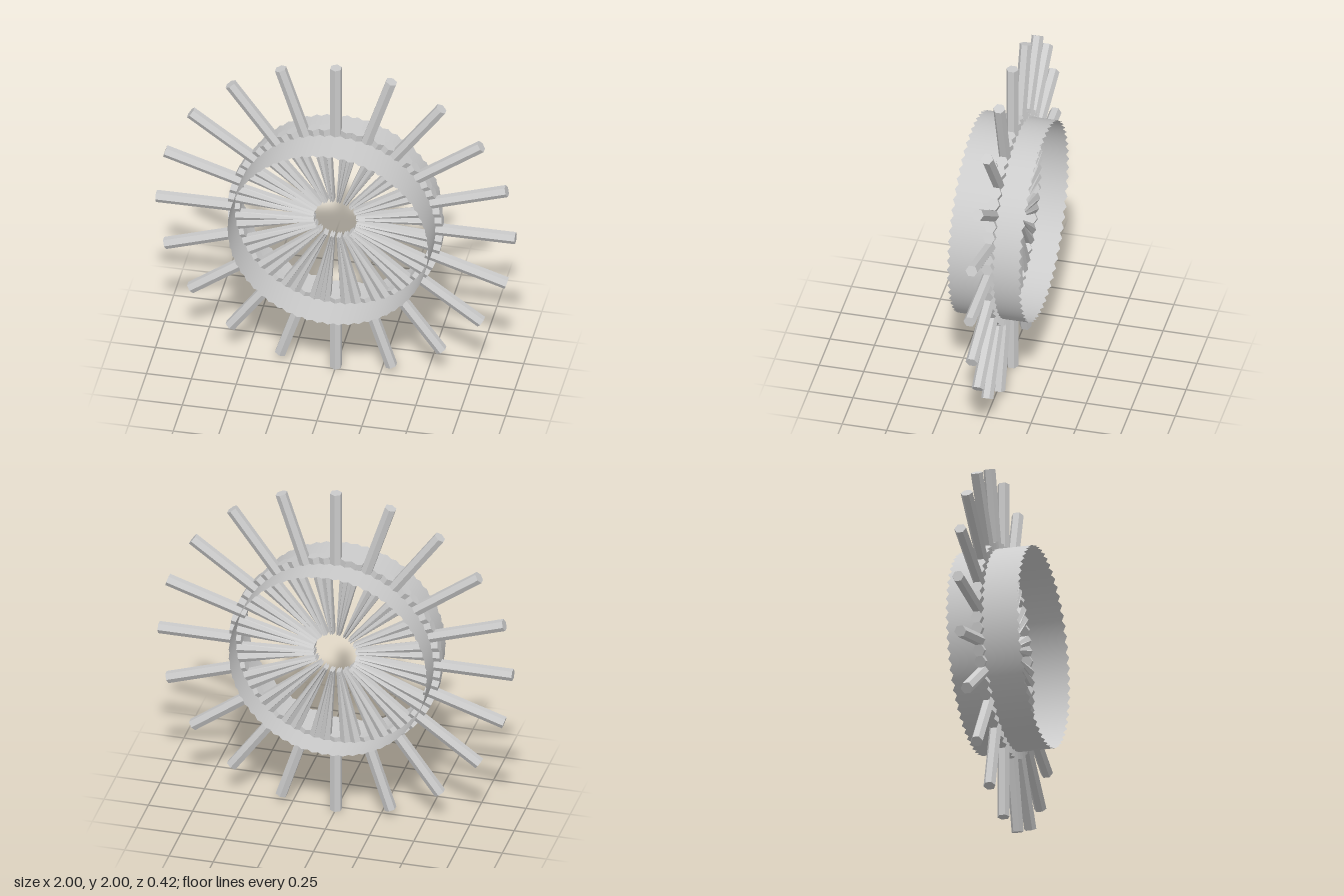
import * as THREE from 'three';
import { mergeGeometries } from 'three/addons/utils/BufferGeometryUtils.js';

const CELLS = 60;                        // hexagonal cells around the rim
const STEP = (2 * Math.PI) / CELLS;
const RIM_R = 0.558;
const HEX_R = (RIM_R * Math.tan(STEP / 2)) / Math.cos(Math.PI / 6);
const ROWS = 8;
const ROW_GAP = 0.05;
const SPOKE_Z = -ROW_GAP / 2;            // the spokes grow from one row of cells

const solid = new THREE.MeshStandardMaterial({ color: 0xcccccc, flatShading: true });
const sheet = new THREE.MeshStandardMaterial({ color: 0xcccccc, side: THREE.DoubleSide });

// Hexagonal bar along the radius, from r0 to r1, with a corner facing the front
function hexBar(r0, r1, tapered) {
  const bar = new THREE.CylinderGeometry(HEX_R, HEX_R, r1 - r0, 6);
  bar.translate(0, (r0 + r1) / 2, 0);
  if (tapered) {
    // width shrinks towards the axle, depth stays the same
    const p = bar.attributes.position;
    for (let i = 0; i < p.count; i++) p.setX(i, (p.getX(i) * p.getY(i)) / RIM_R);
  }
  const flat = bar.toNonIndexed();
  flat.computeVertexNormals();
  return flat;
}

// One hexagonal tile wrapped onto the rim cylinder
function rimTile(angle, z) {
  const tile = new THREE.CircleGeometry(HEX_R, 6, Math.PI / 2);
  const p = tile.attributes.position;
  const n = tile.attributes.normal;
  for (let i = 0; i < p.count; i++) {
    const a = angle + p.getX(i) / RIM_R;
    p.setXYZ(i, RIM_R * Math.sin(a), RIM_R * Math.cos(a), z - p.getY(i));
    n.setXYZ(i, Math.sin(a), Math.cos(a), 0);
  }
  return tile;
}

export function createModel() {
  const wheel = new THREE.Group();
  wheel.name = 'wheel';
  wheel.position.y = 1;

  // Rim: staggered rows of tiles with zigzag borders
  const tiles = [];
  for (let row = 0; row < ROWS; row++) {
    const z = (row - (ROWS - 1) / 2) * ROW_GAP;
    const shift = row % 2 === 1 ? 0 : STEP / 2;
    for (let i = 0; i < CELLS; i++) tiles.push(rimTile(i * STEP + shift, z));
  }
  const rim = new THREE.Mesh(mergeGeometries(tiles), sheet);
  rim.name = 'rim';
  wheel.add(rim);

  // Every third cell grows an outer spoke, the pairs between run in to the hub
  const outerBar = hexBar(0.53, 1, false);
  const innerBar = hexBar(0.119, 0.597, true);
  const outerSpokes = new THREE.Group();
  outerSpokes.name = 'outerSpokes';
  const innerSpokes = new THREE.Group();
  innerSpokes.name = 'innerSpokes';
  for (let i = 0; i < CELLS; i++) {
    const outer = i % 3 === 0;
    const spoke = new THREE.Mesh(outer ? outerBar : innerBar, solid);
    spoke.name = outer ? 'outerSpoke' : 'innerSpoke';
    spoke.position.z = SPOKE_Z;
    spoke.rotation.z = -i * STEP;
    (outer ? outerSpokes : innerSpokes).add(spoke);
  }
  wheel.add(outerSpokes, innerSpokes);

  const model = new THREE.Group();
  model.name = 'spokedWheel';
  model.add(wheel);
  return model;
}
